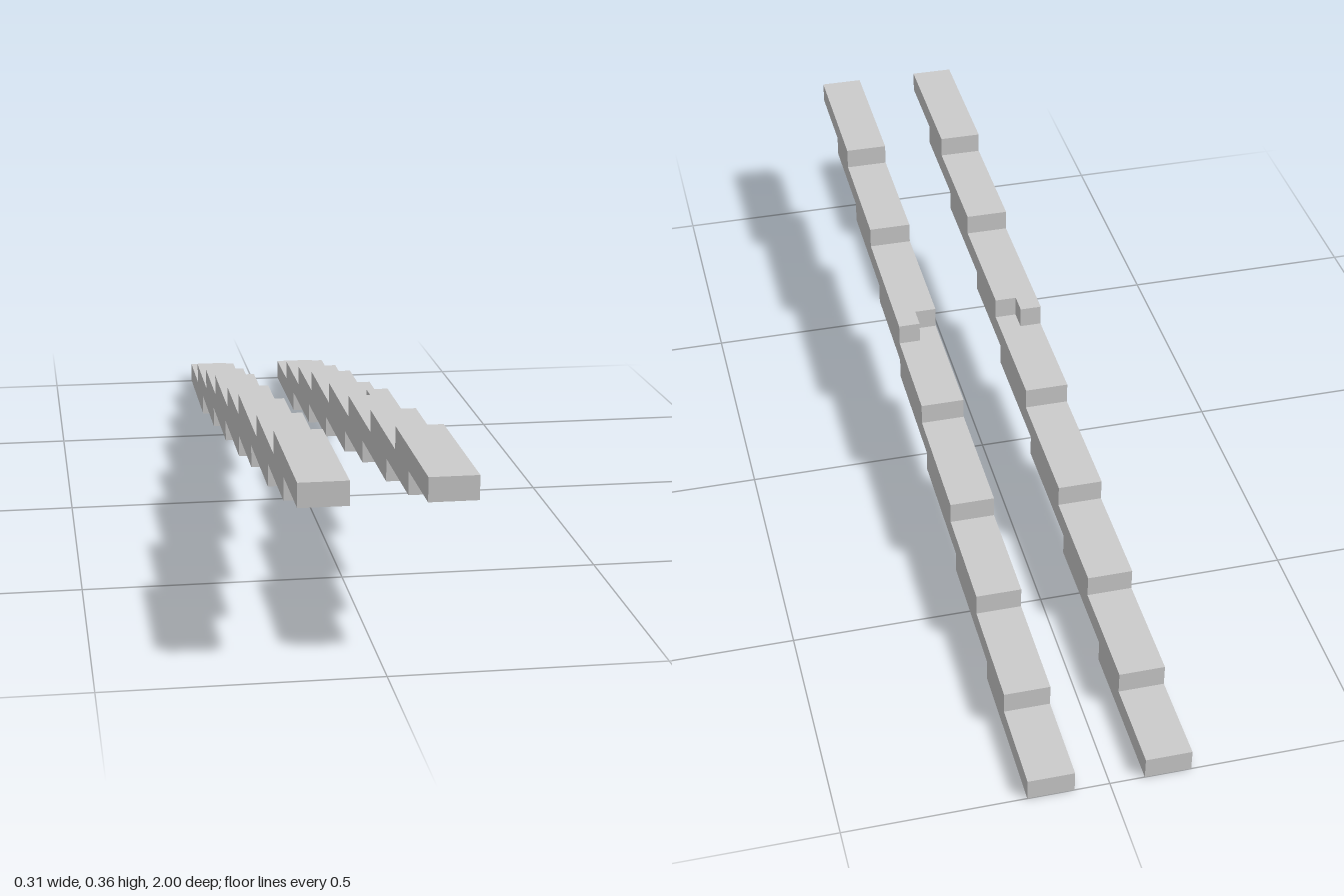
import * as THREE from 'three';

const U = 2 / 45; // height of one step, and the unit for all sizes
// Back and front z of each step, from the lowest to the highest
const BACK = [-22.5, -18.5, -13.5, -8.5, -2.5, 3.5, 9.5, 15.5];
const FRONT = [-15.5, -9.5, -3.5, 2.5, 7.5, 13.5, 18.5, 22.5];
const INNER = 1.5, WIDTH = 2;

// Stepped side outline: up the back of the steps, then down the front
function railGeometry() {
  const points = [];
  BACK.forEach((z, i) => points.push([z, i], [z, i + 1]));
  for (let i = FRONT.length - 1; i >= 0; i--) points.push([FRONT[i], i + 1], [FRONT[i], i]);
  const shape = new THREE.Shape(points.map(([z, y]) => new THREE.Vector2(z * U, y * U)));
  const geometry = new THREE.ExtrudeGeometry(shape, { depth: WIDTH * U, bevelEnabled: false });
  return geometry.rotateY(-Math.PI / 2).translate((WIDTH / 2) * U, 0, 0);
}

export function createModel() {
  const model = new THREE.Group();
  model.name = 'steppedRails';
  const material = new THREE.MeshStandardMaterial({ color: 0xcccccc, flatShading: true });
  const rail = railGeometry();
  const block = new THREE.BoxGeometry(U, U, U);

  for (const [name, side] of [['left', 1], ['right', -1]]) {
    const group = new THREE.Group();
    group.name = name + 'Rail';
    group.position.x = side * (INNER + WIDTH / 2) * U;

    const beam = new THREE.Mesh(rail, material);
    beam.name = name + 'SteppedBeam';

    // Small block extending the outer half of the sixth step
    const tab = new THREE.Mesh(block, material);
    tab.name = name + 'StepTab';
    tab.position.set(side * 0.5 * U, 5.5 * U, 3 * U);

    group.add(beam, tab);
    model.add(group);
  }
  return model;
}
